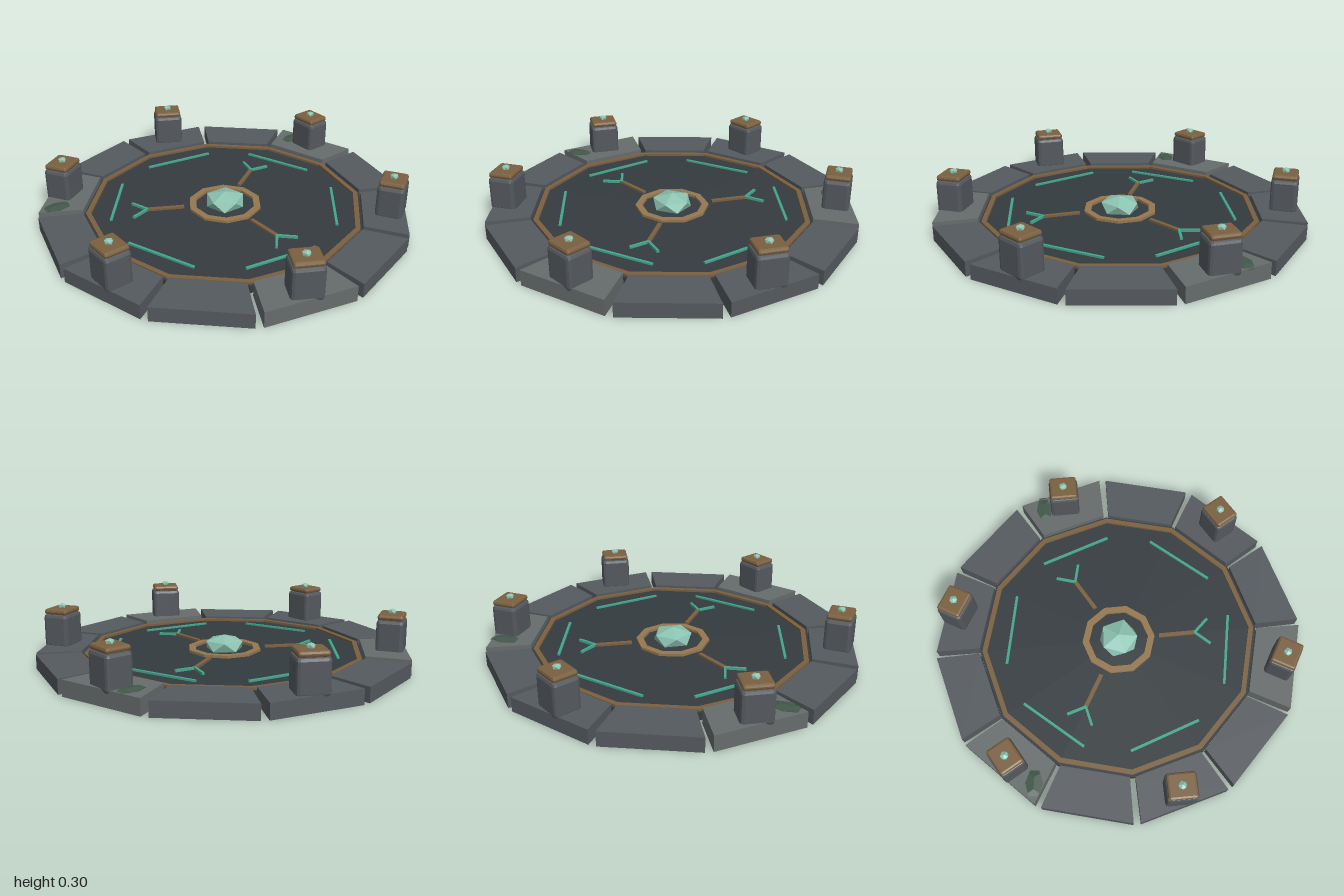
import * as THREE from 'three';
import { RoundedBoxGeometry } from 'three/addons/geometries/RoundedBoxGeometry.js';

const mat = (color) => new THREE.MeshStandardMaterial({ color, flatShading: true });
const RAD = Math.PI / 180;

const polar = (r, a) => new THREE.Vector2(r * Math.cos(a), r * Math.sin(a));

// Extrudes a plan shape upwards, its y pointing to -z
function slab(shape, height) {
  const g = new THREE.ExtrudeGeometry(shape, { depth: height, bevelEnabled: false });
  return g.rotateX(-Math.PI / 2);
}

// Flat polygonal band
function band(outer, inner, sides, height) {
  const loop = (r) => Array.from({ length: sides }, (_, i) => polar(r, Math.PI / 2 + (i * 2 * Math.PI) / sides));
  const shape = new THREE.Shape(loop(outer));
  shape.holes.push(new THREE.Path(loop(inner)));
  return slab(shape, height);
}

export function createModel() {
  const model = new THREE.Group();
  const stone = mat(0x555a5f), lightStone = mat(0x666b6c), pillarStone = mat(0x54595e);
  const floorStone = mat(0x343b3f), bronze = mat(0x7a6040), lightBronze = mat(0x94774f);
  const teal = mat(0x43a68c), crystalMat = mat(0x8cc3b1), moss = mat(0x42584a);

  function add(parent, name, geometry, material, x = 0, y = 0, z = 0) {
    const mesh = new THREE.Mesh(geometry, material);
    mesh.name = name;
    mesh.position.set(x, y, z);
    parent.add(mesh);
    return mesh;
  }

  // Sunken floor with its bronze bands
  add(model, 'floor', new THREE.CylinderGeometry(0.765, 0.765, 0.04, 12), floorStone, 0, 0.038, 0);
  add(model, 'outerTrim', band(0.752, 0.725, 12, 0.014), bronze, 0, 0.056, 0);
  add(model, 'centreRing', band(0.2, 0.163, 10, 0.016), lightBronze, 0, 0.056, 0);

  // Twelve rim stones with open joints
  const lightOnes = [0, 4, 8];
  for (let i = 0; i < 12; i++) {
    const a0 = i * 30 * RAD + 0.019, a1 = (i + 1) * 30 * RAD - 0.019;
    const shape = new THREE.Shape([polar(0.765, a0), polar(1, a0), polar(1, a1), polar(0.765, a1)]);
    const light = lightOnes.includes(i);
    add(model, 'rimStone', slab(shape, light ? 0.084 : 0.078), light ? lightStone : stone);
  }

  // Centre crystal: an icosahedron stood on one corner and flattened
  const gem = new THREE.IcosahedronGeometry(1, 0);
  gem.rotateZ(Math.atan(2 / (1 + Math.sqrt(5))));
  gem.rotateY(0.25);
  const crystal = add(model, 'crystal', gem, crystalMat, 0, 0.086, 0);
  crystal.scale.set(0.115, 0.054, 0.115);

  // Six pillars and six glowing floor strips
  const px = 0.862, pz = -0.232;
  for (let k = 0; k < 6; k++) {
    const sector = new THREE.Group();
    sector.name = 'sector';
    sector.rotation.y = k * 60 * RAD;
    model.add(sector);

    const pillar = new THREE.Group();
    pillar.name = 'pillar';
    pillar.position.set(px, 0, pz);
    sector.add(pillar);
    add(pillar, 'pillarBody', new RoundedBoxGeometry(0.143, 0.185, 0.163, 1, 0.018), pillarStone, 0, 0.155, 0);
    add(pillar, 'pillarCap', new RoundedBoxGeometry(0.134, 0.03, 0.15, 1, 0.012), bronze, 0, 0.26, 0);
    const stud = add(pillar, 'pillarGem', gem, crystalMat, 0, 0.283, 0);
    stud.scale.set(0.024, 0.016, 0.024);

    const a = 19 * RAD;
    const strip = add(sector, 'floorStrip', new THREE.BoxGeometry(0.014, 0.012, 0.4), teal,
      0.594 * Math.cos(a), 0.062, -0.594 * Math.sin(a));
    strip.rotation.y = a;
  }

  // Three forked inlays around the centre
  for (let k = 0; k < 3; k++) {
    const inlay = new THREE.Group();
    inlay.name = 'forkInlay';
    inlay.rotation.y = (30 + k * 120) * RAD;
    model.add(inlay);
    add(inlay, 'forkStem', new THREE.BoxGeometry(0.21, 0.014, 0.022), bronze, 0.33, 0.063, 0);
    for (const s of [-1, 1]) {
      const prong = add(inlay, 'forkProng', new THREE.BoxGeometry(0.11, 0.014, 0.014), teal, 0.462, 0.064, s * 0.036);
      prong.rotation.y = -s * 43 * RAD;
    }
  }

  // Flattened moss clumps on the rim
  for (const [x, z, turn] of [[-0.75, -0.51, -0.12], [0.835, -0.355, 0.08]]) {
    const clump = add(model, 'mossClump', new THREE.DodecahedronGeometry(1, 0), moss, x, 0.08, z);
    clump.scale.set(0.088, 0.014, 0.05);
    clump.rotation.y = turn;
  }

  return model;
}
